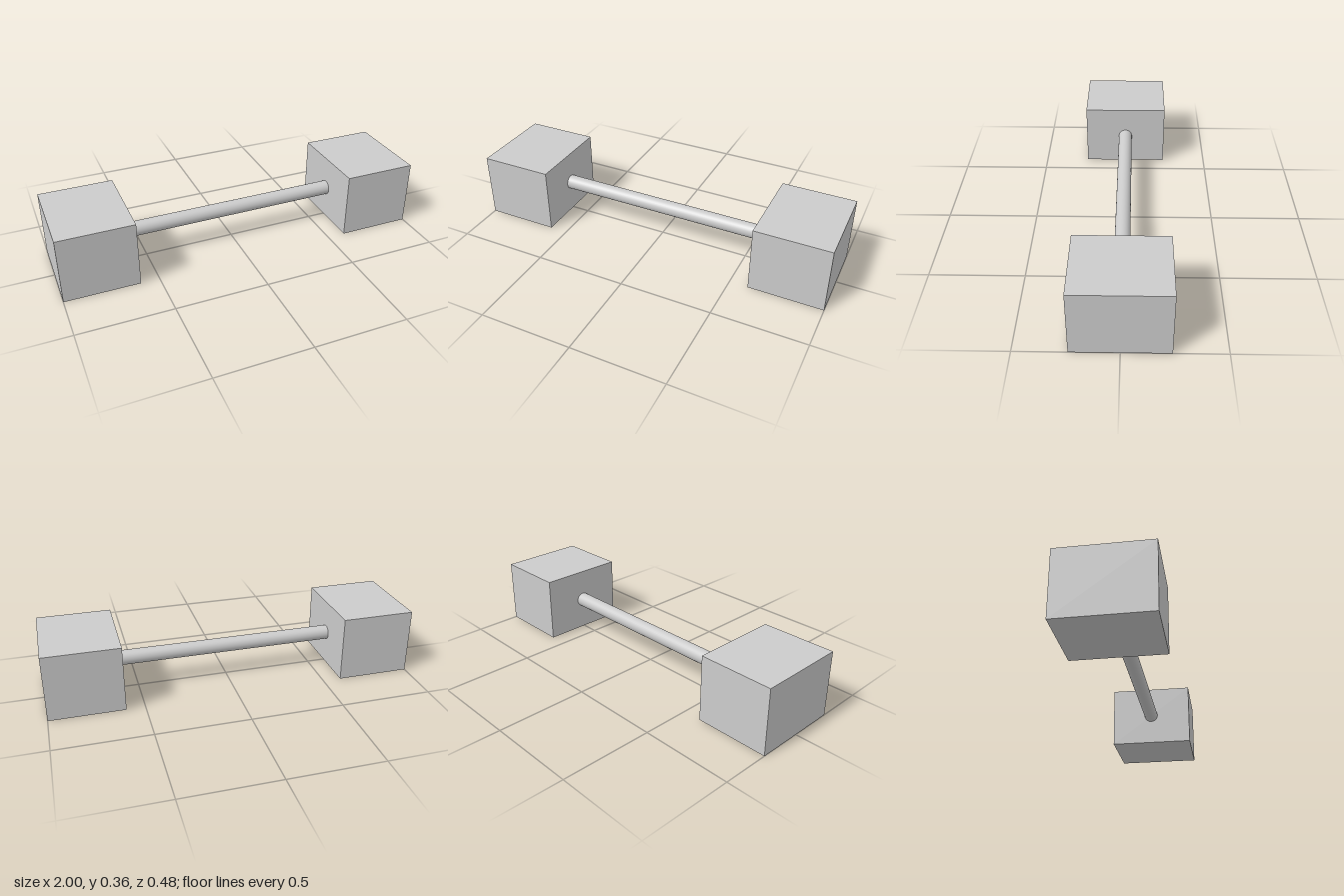
import * as THREE from 'three';

const BLOCK = { width: 0.4, height: 0.36, depth: 0.48 };
const BAR = { radius: 0.04, length: 1.2 };

export function createModel() {
  const model = new THREE.Group();
  model.name = 'dumbbell';
  const material = new THREE.MeshStandardMaterial({ color: 0xcccccc });
  const midY = BLOCK.height / 2;

  // Block weights, mirrored at both ends
  const blockGeometry = new THREE.BoxGeometry(BLOCK.width, BLOCK.height, BLOCK.depth);
  for (const [name, side] of [['leftWeight', 1], ['rightWeight', -1]]) {
    const weight = new THREE.Mesh(blockGeometry, material);
    weight.name = name;
    weight.position.set(side * (BAR.length + BLOCK.width) / 2, midY, 0);
    model.add(weight);
  }

  // Round bar joining the inner faces of the weights
  const barGeometry = new THREE.CylinderGeometry(BAR.radius, BAR.radius, BAR.length, 32);
  const bar = new THREE.Mesh(barGeometry, material);
  bar.name = 'bar';
  bar.rotation.z = Math.PI / 2;
  bar.position.y = midY;
  model.add(bar);

  return model;
}
